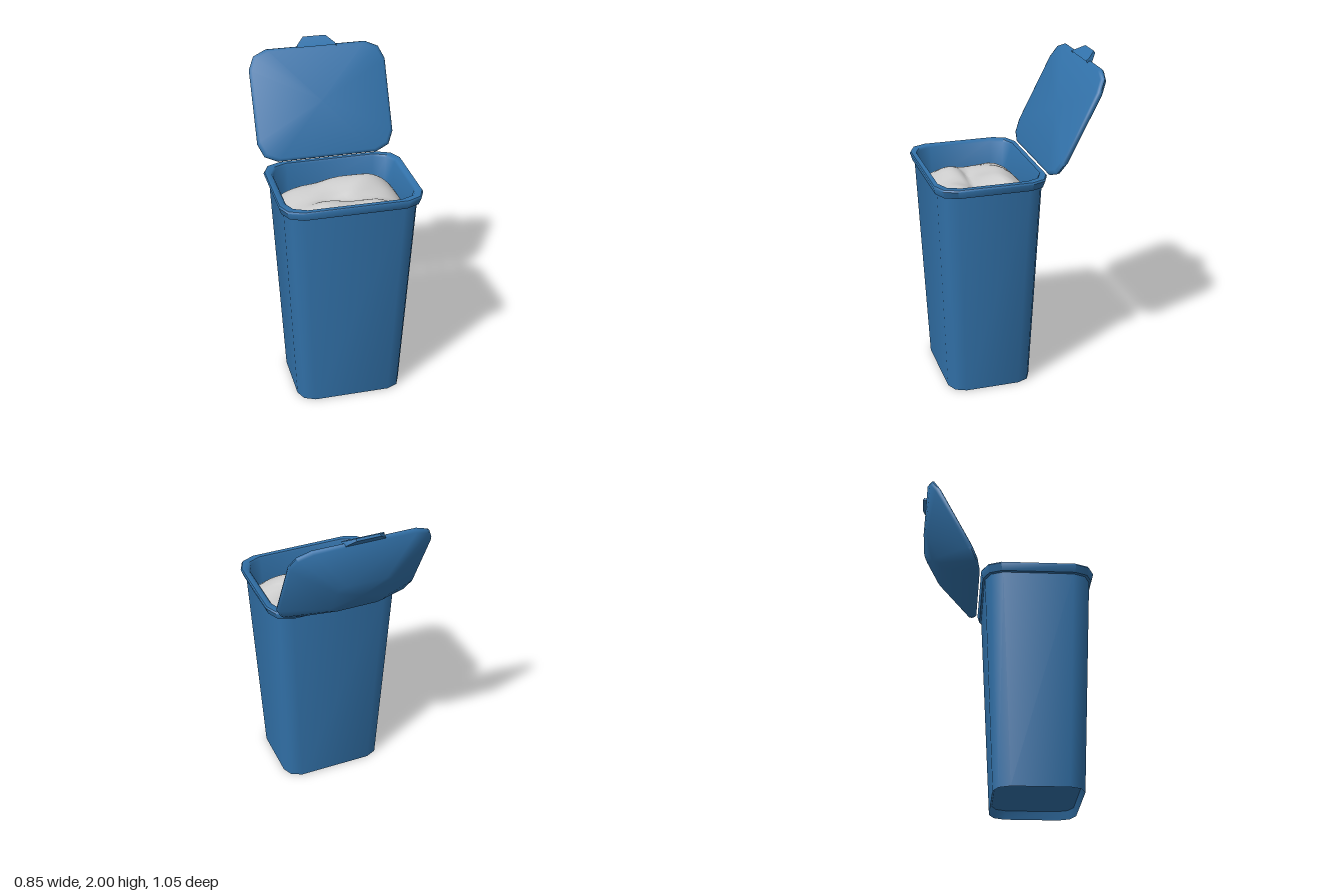
import * as THREE from 'three';
import { toCreasedNormals } from 'three/addons/utils/BufferGeometryUtils.js';

const BLUE = 0x3272aa;
const CENTRE_Z = 0.184;

// Rectangle with two-step chamfered corners, as [x, z] pairs from +x towards +z
function outline(hx, hz, cut, split = 1) {
  const corner = [[hx, hz - cut], [hx - cut * 0.3, hz - cut * 0.32], [hx - cut, hz]];
  const flip = [...corner].reverse();
  const pts = [
    ...corner,
    ...flip.map(([x, z]) => [-x, z]),
    ...corner.map(([x, z]) => [-x, -z]),
    ...flip.map(([x, z]) => [x, -z]),
  ];
  const out = [];
  pts.forEach(([x, z], i) => {
    const [nx, nz] = pts[(i + 1) % pts.length];
    for (let k = 0; k < split; k++) out.push([x + (nx - x) * k / split, z + (nz - z) * k / split]);
  });
  return out;
}

// Skin a list of rings, each an array of [x, y, z]
function loft(rings, crease) {
  const n = rings[0].length, index = [];
  for (let j = 0; j < rings.length - 1; j++) {
    for (let i = 0; i < n; i++) {
      const a = j * n + i, b = j * n + (i + 1) % n;
      index.push(a, a + n, b, b, a + n, b + n);
    }
  }
  const geo = new THREE.BufferGeometry();
  geo.setAttribute('position', new THREE.Float32BufferAttribute(rings.flat(2), 3));
  geo.setIndex(index);
  return toCreasedNormals(geo, crease);
}

// Rows of [halfX, halfZ, cornerCut, y]
const stack = (rows, crease) =>
  loft(rows.map(([hx, hz, cut, y]) => outline(hx, hz, cut).map(([x, z]) => [x, y, z])), crease);

function part(name, geo, color) {
  const mesh = new THREE.Mesh(geo, new THREE.MeshStandardMaterial({ color, side: THREE.DoubleSide }));
  mesh.name = name;
  return mesh;
}

// Lumpy surface of the filling, t = 0 in the middle and 1 at the wall
function fillHeight(x, z, t) {
  const lump = (cx, cz, rx, rz, h) => h * Math.exp(-(((x - cx) / rx) ** 2) - ((z - cz) / rz) ** 2);
  const y = 1.225
    + lump(0.17, -0.12, 0.17, 0.13, 0.08)
    + lump(-0.08, -0.12, 0.2, 0.13, 0.06)
    + lump(-0.12, 0.13, 0.17, 0.11, 0.06)
    + lump(0.18, 0.16, 0.14, 0.1, 0.045)
    - lump(0.05, 0.04, 0.25, 0.03, 0.025)
    + 0.006 * Math.sin(x * 23 + z * 9) * Math.cos(z * 19);
  return y - 0.07 * t ** 6;
}

export function createModel() {
  const model = new THREE.Group();
  model.name = 'wheeliessBin'.replace('wheeliess', 'open');

  // Tapered container with recessed base, rolled rim and inner wall
  const body = part('binBody', stack([
    [0, 0, 0, 0.055],
    [0.31, 0.245, 0.09, 0.05],
    [0.325, 0.26, 0.095, 0],
    [0.395, 0.314, 0.105, 1.3],
  ], 0.95), BLUE);
  body.position.z = CENTRE_Z;

  const rim = part('binRim', stack([
    [0.393, 0.312, 0.105, 1.298],
    [0.409, 0.326, 0.11, 1.302],
    [0.424, 0.338, 0.115, 1.345],
    [0.418, 0.333, 0.113, 1.355],
    [0.385, 0.306, 0.11, 1.355],
    [0.375, 0.3, 0.108, 1.342],
    [0.362, 0.289, 0.1, 1.12],
  ], 0.95), BLUE);
  rim.position.z = CENTRE_Z;

  // Filling, as shrinking rings over the height rule
  const edge = outline(0.366, 0.292, 0.1, 5);
  const rings = [];
  for (let k = 0; k <= 18; k++) {
    const t = 1 - k / 18;
    rings.push(edge.map(([x, z]) => [x * t, fillHeight(x * t, z * t, t), z * t]));
  }
  const filling = part('filling', loft(rings, Math.PI), 0xcccccc);
  filling.position.z = CENTRE_Z;

  // Domed lid, swung open about the back of the rim
  const lid = new THREE.Group();
  lid.name = 'lid';
  lid.add(part('lidShell', stack([
    [0, 0, 0, 0],
    [0.405, 0.322, 0.11, 0],
    [0.42, 0.336, 0.115, 0.006],
    [0.424, 0.34, 0.115, 0.018],
    [0.415, 0.332, 0.115, 0.035],
    [0.17, 0.132, 0.05, 0.158],
    [0, 0, 0, 0.163],
  ], 1.0), BLUE));
  lid.position.set(0, 1.658, -0.309);
  lid.rotation.x = -2.041;

  // Grip tab on the free edge of the lid
  const section = (w, y0, z0, y1, z1) => [[-w, y0, z0], [w, y0, z0], [w, y1, z1], [-w, y1, z1]];
  const tab = part('lidTab', loft([
    section(0.125, 1.925, -0.475, 1.958, -0.445),
    section(0.115, 1.95, -0.49, 1.968, -0.468),
    section(0.07, 1.988, -0.524, 2.0, -0.515),
    section(0, 1.994, -0.52, 1.994, -0.52),
  ], 0.5), BLUE);

  model.add(body, rim, filling, lid, tab);
  return model;
}
